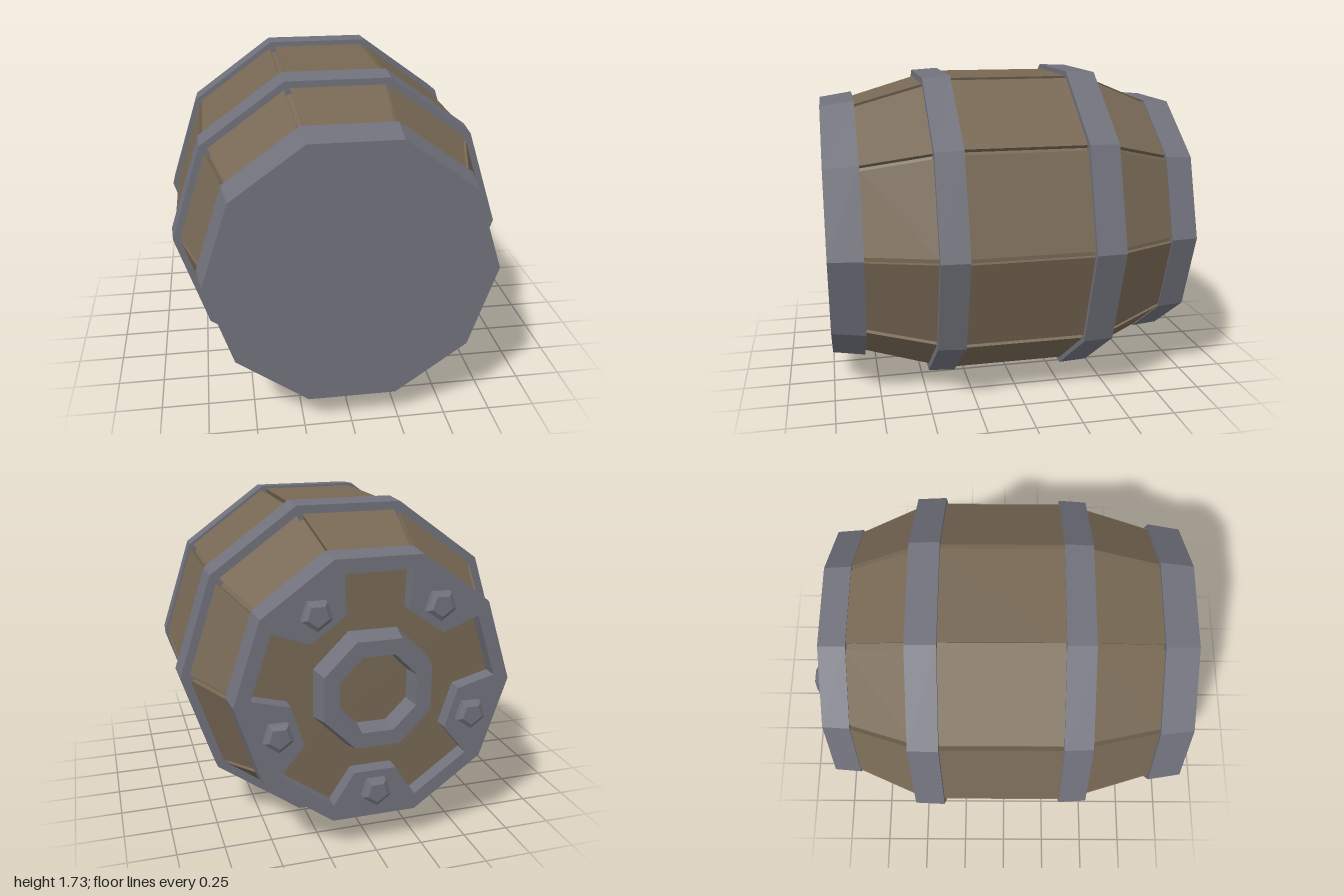
import * as THREE from 'three';

const SIDES = 10, CENTRE_Y = 0.866;
const steel = new THREE.MeshStandardMaterial({ color: 0x71717c });
steel.name = 'steel';
const wood = new THREE.MeshStandardMaterial({ color: 0x776854 });
wood.name = 'wood';

// Split the faces so each one is shaded flat
function flat(geometry) {
  const g = geometry.index ? geometry.toNonIndexed() : geometry;
  g.computeVertexNormals();
  return g;
}

function part(name, geometry, material) {
  const mesh = new THREE.Mesh(flat(geometry), material);
  mesh.name = name;
  return mesh;
}

// Faceted ring about the z axis from [z, radius] points; rising z faces outward
function turned(profile, sides, phase) {
  const points = profile.map(([z, r]) => new THREE.Vector2(r, z));
  return new THREE.LatheGeometry(points, sides, phase).rotateX(Math.PI / 2);
}

const polar = (r, a) => new THREE.Vector2(r * Math.cos(a), r * Math.sin(a));

// Ten staves with a narrow groove at every corner, lofted along z
function staveGeometry(rings) {
  const groove = 0.016, depth = 0.03, positions = [], index = [];
  const count = SIDES * 4;
  for (const [z, r] of rings) {
    for (let k = 0; k < SIDES; k++) {
      const a = polar(r, k * 2 * Math.PI / SIDES);
      const b = polar(r, (k + 1) * 2 * Math.PI / SIDES);
      const t = groove / a.distanceTo(b), inner = (r - depth) / r;
      for (const [u, s] of [[t, inner], [t, 1], [1 - t, 1], [1 - t, inner]]) {
        const p = a.clone().lerp(b, u).multiplyScalar(s);
        positions.push(p.x, p.y, z);
      }
    }
  }
  for (let j = 0; j < rings.length - 1; j++) {
    for (let i = 0; i < count; i++) {
      const a = j * count + i, b = j * count + (i + 1) % count;
      index.push(a, b, b + count, a, b + count, a + count);
    }
  }
  const g = new THREE.BufferGeometry();
  g.setAttribute('position', new THREE.Float32BufferAttribute(positions, 3));
  g.setIndex(index);
  return g;
}

export function createModel() {
  const barrel = new THREE.Group();
  barrel.name = 'barrel';
  barrel.position.y = CENTRE_Y;
  const phase = Math.PI / SIDES;

  // Wooden body
  barrel.add(part('staves', staveGeometry([
    [-0.87, 0.695], [-0.81, 0.72], [-0.45, 0.875], [-0.33, 0.882],
    [0.31, 0.882], [0.46, 0.85], [0.82, 0.742], [0.9, 0.72],
  ]), wood));

  // Hoops and the closed front cap
  const hoops = {
    middleBackHoop: [[-0.49, 0.78], [-0.49, 0.903], [-0.33, 0.91], [-0.33, 0.82]],
    middleFrontHoop: [[0.31, 0.82], [0.31, 0.897], [0.46, 0.887], [0.46, 0.78]],
    backHoop: [[-0.955, 0.715], [-0.81, 0.727], [-0.81, 0.65]],
    frontCap: [[0.82, 0.68], [0.82, 0.766], [1, 0.737], [1, 0]],
  };
  for (const [name, profile] of Object.entries(hoops)) {
    barrel.add(part(name, turned(profile, SIDES, phase), steel));
  }

  // Recessed wooden back panel
  const panel = new THREE.CircleGeometry(0.69, SIDES).rotateY(Math.PI).translate(0, 0, -0.875);
  barrel.add(part('backPanel', panel, wood));

  // Back rim with five lugs reaching inward between the windows
  const corners = [], opening = [];
  for (let k = 0; k < SIDES; k++) corners.push(polar(0.715, k * 2 * Math.PI / SIDES));
  const lugAngles = [0, 1, 2, 3, 4].map((k) => -Math.PI / 2 + k * 2 * Math.PI / 5);
  for (const angle of lugAngles) {
    for (const [r, w] of [[0.593, -0.22], [0.425, -0.11], [0.425, 0.11], [0.593, 0.22]]) {
      opening.push(new THREE.Vector2(r, w).rotateAround(new THREE.Vector2(), angle));
    }
  }
  const rim = new THREE.Shape(corners);
  rim.holes.push(new THREE.Path(opening));
  const rimGeometry = new THREE.ExtrudeGeometry(rim, { depth: 0.1, bevelEnabled: false });
  barrel.add(part('backRim', rimGeometry.translate(0, 0, -0.955), steel));

  // Octagonal ring in the middle of the back
  const ring = turned([
    [-0.87, 0.2], [-0.98, 0.215], [-0.98, 0.3], [-0.87, 0.33],
  ], 8, Math.PI / 8);
  barrel.add(part('centreRing', ring, steel));

  // Five-sided bolts, one on each lug
  for (const angle of lugAngles) {
    const bolt = part('bolt', turned([[-1, 0], [-1, 0.055], [-0.985, 0.08], [-0.95, 0.08]], 5, 0), steel);
    const p = polar(0.53, angle);
    bolt.position.set(p.x, p.y, 0);
    bolt.rotation.z = angle + Math.PI / 2;
    barrel.add(bolt);
  }

  const model = new THREE.Group();
  model.add(barrel);
  return model;
}
